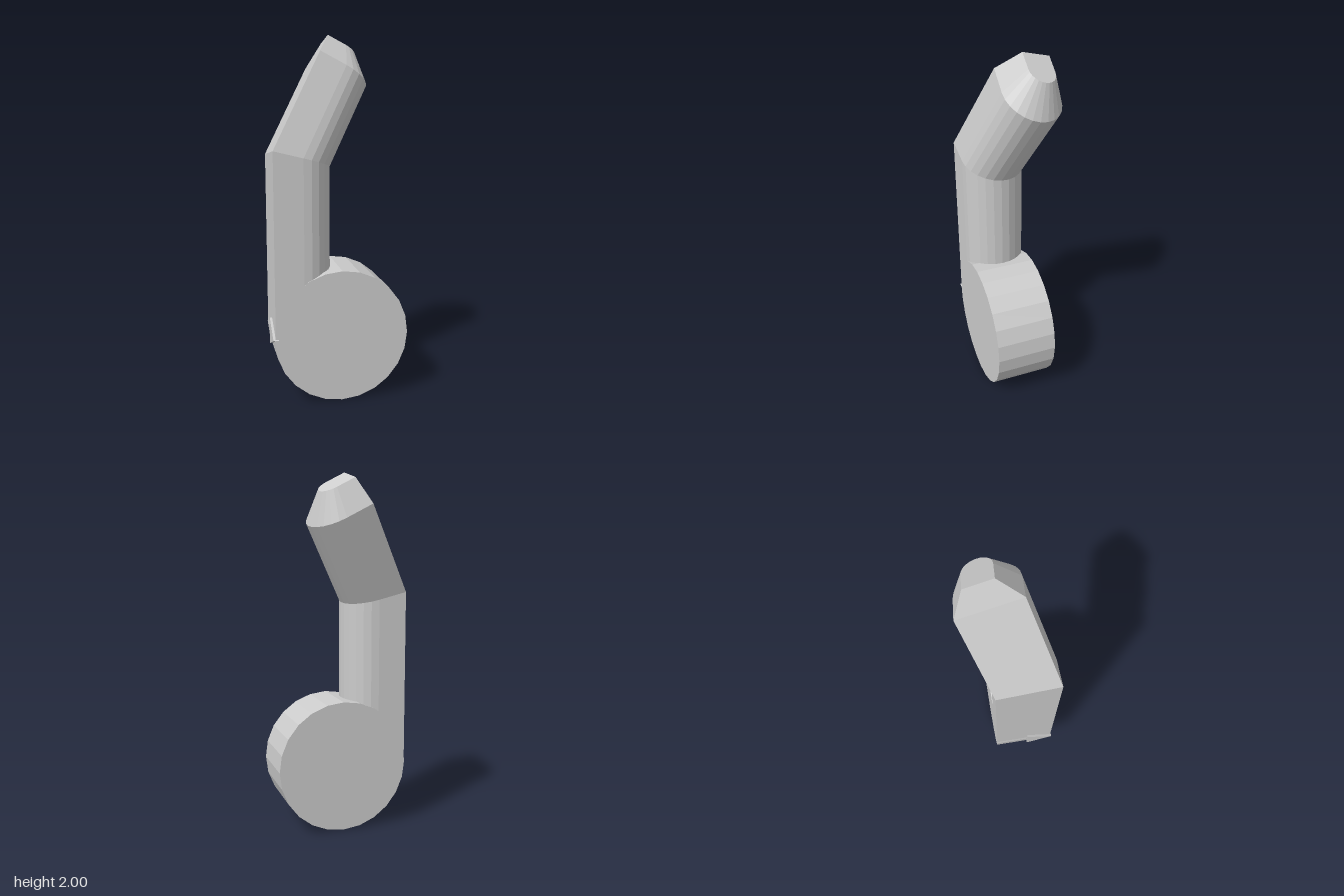
import * as THREE from 'three';

const material = new THREE.MeshStandardMaterial({ color: 0xcccccc, flatShading: true });

// Direction of the bent arm, the mitre plane normal and the two end plane distances
const up = new THREE.Vector3(0, 1, 0);
const armDir = new THREE.Vector3(0.28, 0.51, -0.155).normalize();
const mitre = up.clone().add(armDir).normalize();
const mitreDist = new THREE.Vector3(-0.365, 1.4, 0.24).dot(mitre);
const ARM_END = 1.556, TIP_END = 1.695;

// D-shaped outline: flat at xBack, two straight sides, half round towards +x
function dSection(xBack, xFront, radius, zMid) {
  const pts = [[xBack, zMid + radius]];
  for (let i = 0; i <= 12; i++) {
    const a = Math.PI / 2 - (i / 12) * Math.PI;
    pts.push([xFront - radius + Math.cos(a) * radius, zMid + Math.sin(a) * radius]);
  }
  pts.push([xBack, zMid - radius]);
  return pts.map(([x, z]) => new THREE.Vector3(x, 0, z));
}

// Slide a point along a direction until it meets a plane
function slide(p, dir, normal, dist) {
  return p.clone().addScaledVector(dir, (dist - p.dot(normal)) / dir.dot(normal));
}

// Closed skin over a stack of rings, with flat ends
function loft(rings) {
  const pos = [];
  const tri = (...v) => v.forEach((p) => pos.push(p.x, p.y, p.z));
  const n = rings[0].length;
  for (let r = 0; r < rings.length - 1; r++) {
    const a = rings[r], b = rings[r + 1];
    for (let i = 0; i < n; i++) {
      const j = (i + 1) % n;
      tri(a[i], a[j], b[j]);
      tri(a[i], b[j], b[i]);
    }
  }
  const first = rings[0], last = rings[rings.length - 1];
  for (let i = 1; i < n - 1; i++) {
    tri(first[0], first[i + 1], first[i]);
    tri(last[0], last[i], last[i + 1]);
  }
  const g = new THREE.BufferGeometry();
  g.setAttribute('position', new THREE.Float32BufferAttribute(pos, 3));
  g.computeVertexNormals();
  return g;
}

export function createModel() {
  const group = new THREE.Group();
  const add = (name, geometry) => {
    const mesh = new THREE.Mesh(geometry, material);
    mesh.name = name;
    group.add(mesh);
    return mesh;
  };

  // Round base disc, axis along z
  const disc = add('baseDisc', new THREE.CylinderGeometry(0.372, 0.372, 0.34, 24).rotateX(Math.PI / 2));
  disc.position.set(0.004, 0.373, 0.07);

  // Upright post, bent arm and tapered tip
  const toMitre = (p) => slide(p, up, mitre, mitreDist);
  const outline = dSection(-0.365, -0.035, 0.17, 0.07);
  const foot = outline.map((p) => p.clone().setY(0.375));
  const bend = outline.map(toMitre);
  const armEnd = bend.map((p) => slide(p, armDir, armDir, ARM_END));
  const tip = dSection(-0.355, -0.165, 0.077, 0.07)
    .map((p) => slide(toMitre(p), armDir, armDir, TIP_END));
  add('bentArm', loft([foot, bend, armEnd, tip]));

  // Small triangular nub on the flat back of the post
  const triangle = new THREE.Shape([
    new THREE.Vector2(-0.09, 0.46), new THREE.Vector2(-0.09, 0.31), new THREE.Vector2(-0.245, 0.38),
  ]);
  const nub = add('triangularNub', new THREE.ExtrudeGeometry(triangle, { depth: 0.03, bevelEnabled: false }));
  nub.rotation.y = Math.PI / 2;
  nub.position.x = -0.378;

  return group;
}
